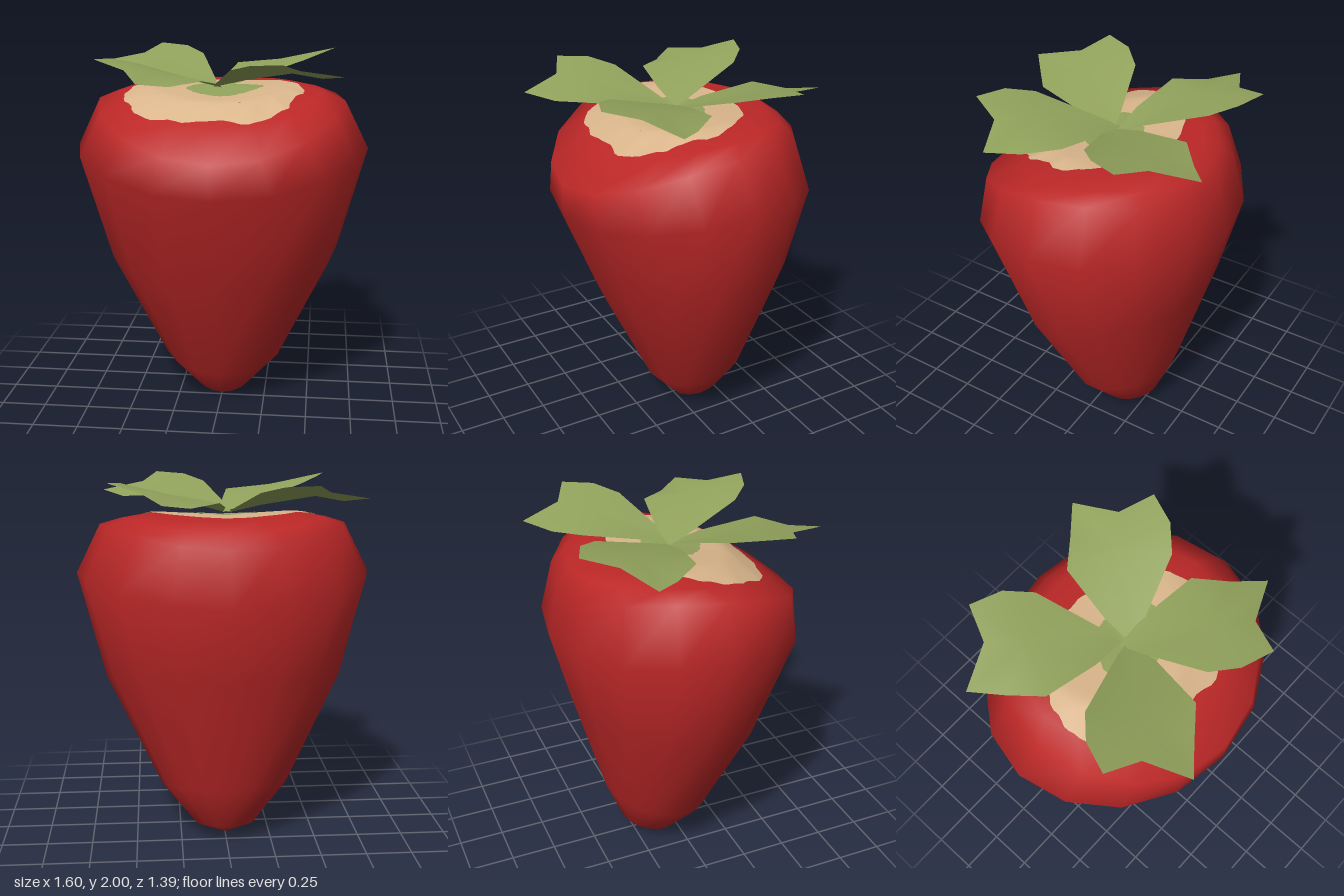
import * as THREE from 'three';

const flat = (name, color, side = THREE.FrontSide) => {
  const m = new THREE.MeshStandardMaterial({ color, side });
  m.name = name;
  return m;
};

function indexed(points, index) {
  const g = new THREE.BufferGeometry();
  g.setAttribute('position', new THREE.Float32BufferAttribute(points.flat(), 3));
  g.setIndex(index);
  g.computeVertexNormals();
  return g;
}

// Fruit: tilted, slightly saddle-shaped rings lofted from the tip to the crown
const SIDES = 16;
// [half width, side y, front z, front y, back z, back y]
const RINGS = [
  [0.16, 0.06, 0.0, 0.012, -0.31, 0.1],
  [0.35, 0.29, 0.15, 0.18, -0.41, 0.35],
  [0.65, 0.92, 0.42, 0.75, -0.59, 1.0],
  [0.8, 1.49, 0.65, 1.33, -0.69, 1.4],
  [0.67, 1.75, 0.65, 1.51, -0.63, 1.68],
  [0.55, 1.79, 0.45, 1.66, -0.56, 1.76],
  [0.4, 1.82, 0.28, 1.765, -0.48, 1.81],
];

function fruitGeometry() {
  const pts = [];
  const index = [];
  for (const [w, ys, zf, yf, zb, yb] of RINGS) {
    for (let j = 0; j < SIDES; j++) {
      const t = (j / SIDES) * Math.PI * 2;
      const c = Math.cos(t);
      pts.push([
        w * Math.sin(t),
        ys + ((yf - yb) / 2) * c + ((yf + yb) / 2 - ys) * c * c,
        (zf + zb) / 2 + ((zf - zb) / 2) * c,
      ]);
    }
  }
  const tip = pts.push([0, 0, -0.15]) - 1;
  const crown = pts.push([0, 1.8, -0.08]) - 1;
  const last = (RINGS.length - 1) * SIDES;
  for (let j = 0; j < SIDES; j++) {
    const k = (j + 1) % SIDES;
    for (let r = 0; r < last; r += SIDES) {
      index.push(r + j, r + k, r + SIDES + k, r + j, r + SIDES + k, r + SIDES + j);
    }
    index.push(tip, k, j, crown, last + j, last + k);
  }
  return indexed(pts, index);
}

// Thin patch laid over the top of the fruit; outline in [x, z], front towards +x
function drape(target, outline, lift, ragged) {
  const curve = new THREE.CatmullRomCurve3(
    outline.map(([x, z]) => new THREE.Vector3(x, 0, z)), true);
  const segs = 72;
  const steps = 12;
  const ray = new THREE.Raycaster();
  const down = new THREE.Vector3(0, -1, 0);
  const heightAt = (x, z) => {
    ray.set(new THREE.Vector3(x, 4, z), down);
    const hit = ray.intersectObject(target)[0];
    return (hit ? hit.point.y : 1.8) + lift;
  };
  const pts = [[0, heightAt(0, 0), 0]];
  const index = [];
  for (let j = 0; j < segs; j++) {
    const p = curve.getPoint(j / segs);
    const wobble = 1 + ragged * (Math.sin(j * 1.7) + Math.sin(j * 0.9 + 1));
    for (let s = 1; s <= steps; s++) {
      const x = (p.x * wobble * s) / steps;
      const z = (p.z * wobble * s) / steps;
      pts.push([x, heightAt(x, z), z]);
    }
  }
  for (let j = 0; j < segs; j++) {
    const a = 1 + j * steps;
    const b = 1 + ((j + 1) % segs) * steps;
    index.push(0, b, a);
    for (let s = 0; s < steps - 1; s++) {
      index.push(a + s, b + s, b + s + 1, a + s, b + s + 1, a + s + 1);
    }
  }
  return indexed(pts, index);
}

// Leaf: fan around the midrib, one edge raised, with a notched double tip
function leafGeometry() {
  const pts = [
    [-0.3, 1.935, 0.34],
    [0, 1.81, -0.01],
    [-0.1, 1.84, 0.01],
    [-0.44, 1.95, 0.12],
    [-0.55, 1.985, 0.23],
    [-0.61, 1.995, 0.39],
    [-0.44, 1.95, 0.47],
    [-0.34, 1.91, 0.695],
    [-0.2, 1.885, 0.58],
    [-0.05, 1.9, 0.46],
    [0.0, 1.85, 0.17],
  ];
  const index = [];
  const n = pts.length - 1;
  for (let i = 0; i < n; i++) index.push(0, 1 + ((i + 1) % n), 1 + i);
  // wind so that the upper side is the front
  for (let i = 0; i < index.length; i += 3) {
    const [a, b, c] = [0, 1, 2].map((k) => pts[index[i + k]]);
    const up = (b[2] - a[2]) * (c[0] - a[0]) - (b[0] - a[0]) * (c[2] - a[2]);
    if (up < 0) [index[i + 1], index[i + 2]] = [index[i + 2], index[i + 1]];
  }
  return indexed(pts, index);
}

export function createModel() {
  const red = flat('fruitRed', 0xbc2727);
  const cream = flat('paleCream', 0xd9b58b, THREE.DoubleSide);
  const green = flat('leafGreen', 0x92a35c, THREE.DoubleSide);

  const model = new THREE.Group();
  model.name = 'strawberry';
  const add = (name, geometry, material) => {
    const mesh = new THREE.Mesh(geometry, material);
    mesh.name = name;
    model.add(mesh);
    return mesh;
  };

  const fruit = add('fruit', fruitGeometry(), red);
  fruit.updateMatrixWorld();

  // Pale ragged shoulder and the green base of the leaves
  const shoulder = [
    [0.44, 0.03], [0.39, 0.16], [0.35, 0.28], [0.2, 0.4], [0, 0.4],
    [-0.2, 0.4], [-0.39, 0.33], [-0.49, 0.18], [-0.52, 0.04], [-0.46, -0.1],
    [-0.34, -0.24], [-0.1, -0.34], [0.05, -0.33], [0.25, -0.27], [0.4, -0.13],
  ];
  add('paleShoulder', drape(fruit, shoulder, 0.005, 0.012), cream);
  const base = [[0.22, -0.05], [0.12, 0.1], [0.03, 0.16], [-0.1, 0.12],
    [-0.19, 0.02], [-0.13, -0.1], [-0.03, -0.17], [0.1, -0.13]];
  add('leafBase', drape(fruit, base, 0.009, 0.015), green);

  // Four leaves turned around the crown
  const leaf = leafGeometry();
  for (let i = 0; i < 4; i++) {
    const mesh = add('leaf' + (i + 1), leaf, green);
    mesh.rotation.y = (-i * Math.PI) / 2;
    if (i % 2) mesh.position.set(-0.035, 0, -0.03);
  }
  return model;
}
